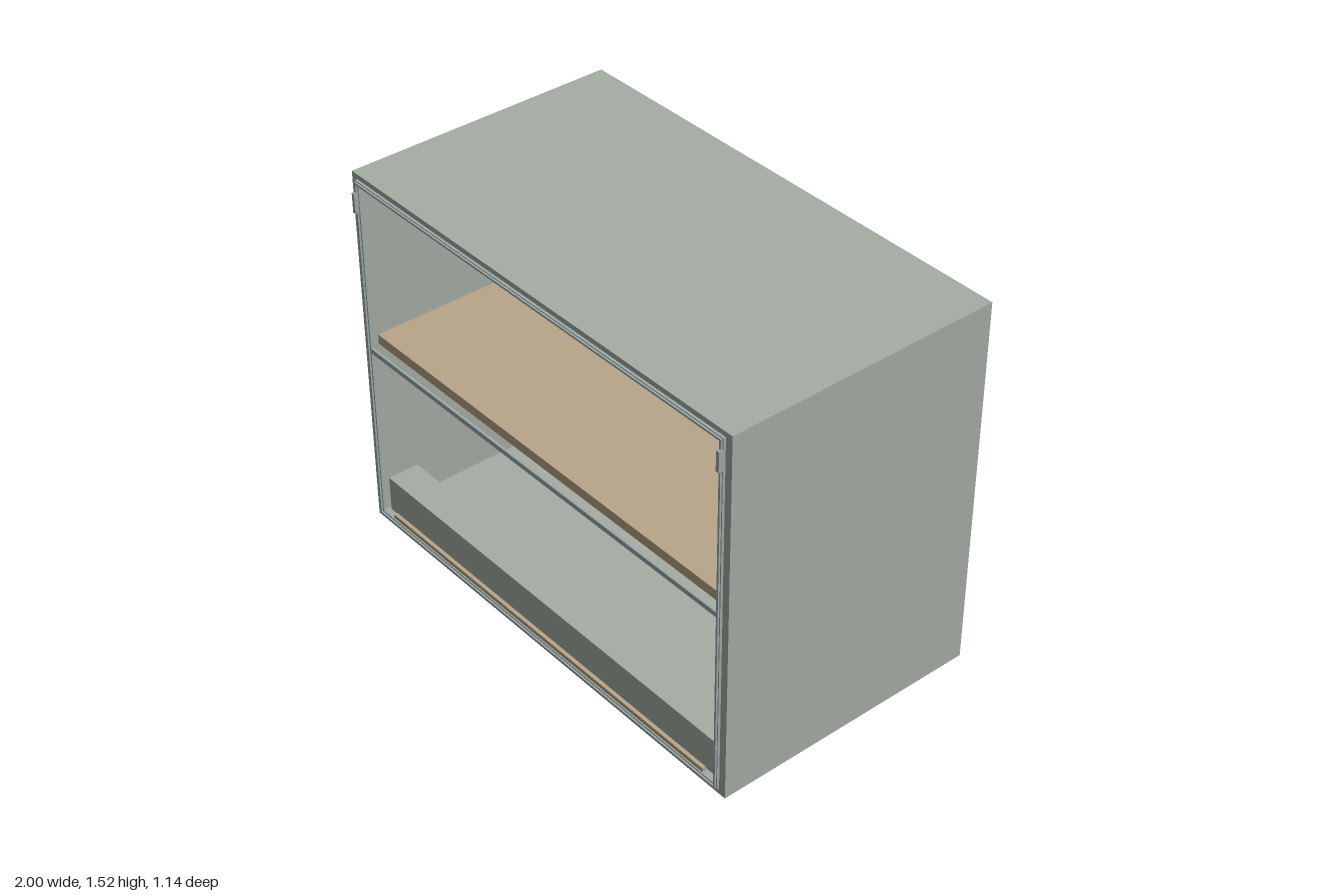
import * as THREE from 'three';

export function createModel() {
  const model = new THREE.Group();
  const mat = (name, color) => {
    const m = new THREE.MeshStandardMaterial({ color });
    m.name = name;
    return m;
  };
  const paint = mat('sage grey', 0xa6aea5);
  const trim = mat('blue grey trim', 0x9dabaa);
  const wood = mat('plywood', 0xb9a58a);

  // Box given by its extents along each axis
  const slab = (name, m, [x0, x1], [y0, y1], [z0, z1]) => {
    const mesh = new THREE.Mesh(new THREE.BoxGeometry(x1 - x0, y1 - y0, z1 - z0), m);
    mesh.position.set((x0 + x1) / 2, (y0 + y1) / 2, (z0 + z1) / 2);
    mesh.name = name;
    model.add(mesh);
    return mesh;
  };

  // Rectangular ring facing the front
  const ring = (name, m, hw, y0, y1, t, z0, z1) => {
    const rect = (C, w, a, b) => {
      const p = new C();
      p.moveTo(-w, a).lineTo(w, a).lineTo(w, b).lineTo(-w, b).closePath();
      return p;
    };
    const s = rect(THREE.Shape, hw, y0, y1);
    s.holes.push(rect(THREE.Path, hw - t, y0 + t, y1 - t));
    const mesh = new THREE.Mesh(
      new THREE.ExtrudeGeometry(s, { depth: z1 - z0, bevelEnabled: false }), m);
    mesh.position.z = z0;
    mesh.name = name;
    model.add(mesh);
  };

  const H = 1.52, zBack = -0.57, zFront = 0.545, inner = 0.955;

  // Cabinet shell
  ring('cabinetShell', paint, 1, 0, H, 0.04, zBack + 0.004, zFront);
  ring('backEdge', trim, 1, 0, H, 0.04, zBack, zBack + 0.004);
  slab('backPanel', wood, [-0.965, 0.965], [0.035, 1.485], [zBack, -0.52]);

  // Shelf and the posts that carry it
  slab('shelf', wood, [-0.96, 0.96], [0.795, 0.835], [-0.52, 0.515]);
  slab('upperPost', trim, [-0.018, 0.012], [0.835, 1.445], [-0.49, -0.455]);
  slab('lowerPost', trim, [-0.018, 0.012], [0.04, 0.795], [-0.49, -0.455]);

  // Front sill box and threshold strip
  slab('frontSill', paint, [-0.945, 0.945], [0.04, 0.19], [0.395, 0.525]);
  slab('thresholdStrip', wood, [-0.89, 0.89], [0.01, 0.06], [0.535, 0.55]);

  // Front frame: flat ring with a raised bead and a middle rail
  ring('frontFrame', trim, 0.97, 0.025, 1.5, 0.018, zFront, 0.555);
  ring('frameBead', trim, 0.966, 0.029, 1.496, 0.008, 0.555, 0.562);
  slab('middleRail', trim, [-inner, inner], [0.775, 0.795], [zFront, 0.555]);

  // Catches on the frame and pads on the floor, one per side
  for (const s of [-1, 1]) {
    const side = s < 0 ? 'right' : 'left';
    const catchX = s * 0.963, padX = s * 0.84;
    slab(side + 'Catch', trim, [catchX - 0.007, catchX + 0.007], [1.375, 1.455], [0.555, 0.572]);
    slab(side + 'FloorPad', paint, [padX - 0.04, padX + 0.04], [0.04, 0.055], [-0.31, -0.23]);
  }
  return model;
}
